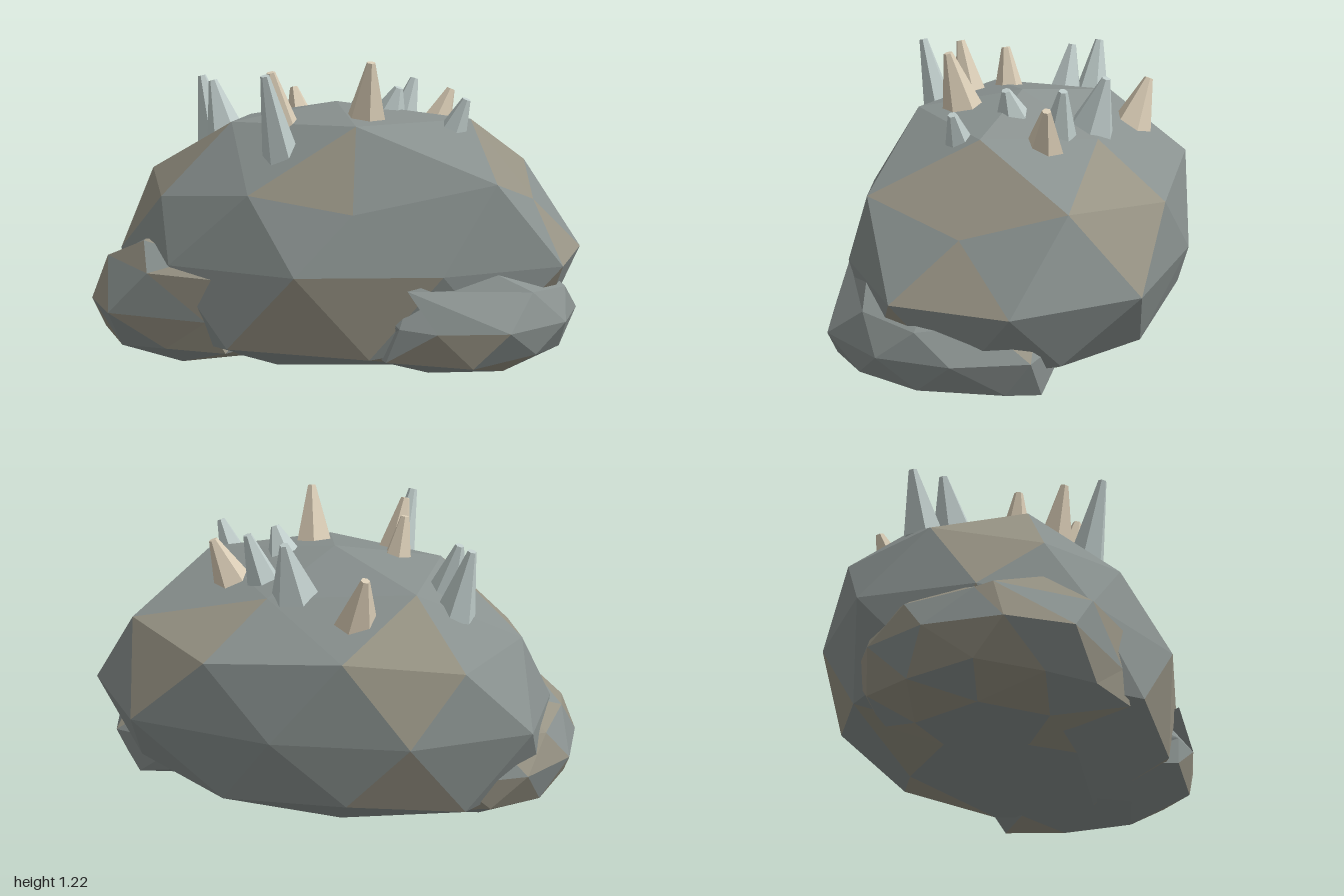
import * as THREE from 'three';

const slate = new THREE.MeshStandardMaterial({ color: 0x89918f, flatShading: true });
const warmSlate = new THREE.MeshStandardMaterial({ color: 0x979384, flatShading: true });
const sand = new THREE.MeshStandardMaterial({ color: 0xdacdb6, flatShading: true });
const ice = new THREE.MeshStandardMaterial({ color: 0xc0cdcb, flatShading: true });

// Faceted boulder: rings of an icosphere with a pole on top, flattened on the ground.
// "shaped" replaces corners of a ring by hand-placed ones; "warmth" is the share of warm facets.
function boulder(name, warmth, [cx, cy, cz], [rx, ry, rz], turn, shaped) {
  const points = [];
  const ring = (key, n, start, level) => {
    const first = points.length / 3;
    for (let i = 0; i < n; i++) {
      const h = level[i % level.length];
      const r = Math.sqrt(1 - h * h);
      const a = THREE.MathUtils.degToRad(start + turn + (360 / n) * i);
      const p = shaped[key]?.[i] ??
        [cx + rx * r * Math.cos(a), cy + ry * h, cz + rz * r * Math.sin(a)];
      points.push(p[0], Math.max(0, p[1]), p[2]);
    }
    return (i) => first + ((i + n) % n);
  };
  const top = ring('top', 1, 0, [1]);
  const A = ring('crown', 5, 0, [0.851]);
  const B = ring('shoulder', 10, 0, [0.447, 0.526]);
  const C = ring('waist', 10, 18, [0]);
  const D = ring('skirt', 10, 0, [-0.526, -0.447]);
  const E = ring('foot', 5, 36, [-0.851]);
  const bottom = ring('bottom', 1, 0, [-1]);

  // Facets are scattered between a cool and a warm stone
  const cool = [];
  const warm = [];
  let count = 0;
  const tri = (a, b, c) => {
    const scatter = (++count * 0.618) % 1;
    (scatter < warmth ? warm : cool).push(a, c, b);
  };
  for (let k = 0; k < 5; k++) {
    const j = 2 * k;
    tri(top(0), A(k), A(k + 1));
    tri(A(k), B(j), B(j + 1));
    tri(A(k), B(j + 1), A(k + 1));
    tri(A(k + 1), B(j + 1), B(j + 2));
    tri(D(j - 1), E(k - 1), D(j));
    tri(D(j), E(k), D(j + 1));
    tri(D(j), E(k - 1), E(k));
    tri(E(k - 1), bottom(0), E(k));
  }
  for (let j = 0; j < 10; j++) {
    tri(B(j), C(j), B(j + 1));
    tri(B(j + 1), C(j), C(j + 1));
    tri(C(j), D(j + 1), C(j + 1));
    tri(C(j), D(j), D(j + 1));
  }
  const indexed = new THREE.BufferGeometry();
  indexed.setAttribute('position', new THREE.Float32BufferAttribute(points, 3));
  indexed.setIndex([...cool, ...warm]);
  const geometry = indexed.toNonIndexed();
  geometry.computeVertexNormals();
  geometry.addGroup(0, cool.length, 0);
  geometry.addGroup(cool.length, warm.length, 1);
  const mesh = new THREE.Mesh(geometry, [slate, warmSlate]);
  mesh.name = name;
  return mesh;
}

// Tapered crystal from a base point to a blunt tip
function crystal(material, radius, base, tip, twist) {
  const from = new THREE.Vector3(...base);
  const axis = new THREE.Vector3(...tip).sub(from);
  const length = axis.length();
  const geometry = new THREE.CylinderGeometry(0.018, radius, length, 6);
  geometry.rotateY(twist);
  geometry.translate(0, length / 2, 0);
  const mesh = new THREE.Mesh(geometry, material);
  mesh.quaternion.setFromUnitVectors(new THREE.Vector3(0, 1, 0), axis.normalize());
  mesh.position.copy(from);
  mesh.name = 'crystal';
  return mesh;
}

export function createModel() {
  const model = new THREE.Group();
  model.name = 'crystalRock';

  // Large central boulder
  model.add(boulder('mainBoulder', 0.25, [0, 0.43, 0], [1, 0.61, 0.71], 0, {
    crown: [[0.56, 0.98, 0], [0.17, 0.98, 0.39], [-0.38, 0.97, 0.24], [-0.44, 0.95, -0.26], [0.15, 0.9, -0.36]],
    shoulder: [
      [0.82, 0.66, 0], [0.73, 0.77, 0.4], [0.2, 0.66, 0.58], [-0.22, 0.72, 0.57], [-0.63, 0.68, 0.4],
      [-0.8, 0.74, 0], [-0.69, 0.7, -0.4], [-0.27, 0.76, -0.63], [0.29, 0.71, -0.67], [0.73, 0.77, -0.4],
    ],
    waist: [
      [0.97, 0.43, 0.23], [0.55, 0.43, 0.56], [0, 0.43, 0.71], [-0.55, 0.43, 0.56], [-0.87, 0.43, 0.22],
      [-0.92, 0.43, -0.24], [-0.53, 0.43, -0.58], [0, 0.43, -0.71], [0.62, 0.43, -0.66], [0.99, 0.43, -0.25],
    ],
    skirt: { 2: [0.27, 0.1, 0.6], 3: [-0.28, 0.13, 0.67], 7: [-0.28, 0.17, -0.61] },
  }));

  // Two smaller, blockier boulders leaning on the front corners
  model.add(boulder('leftBoulder', 0.15, [0.54, 0.22, 0.13], [0.48, 0.25, 0.49], 0, {
    crown: { 1: [0.7, 0.44, 0.42] },
    shoulder: { 2: [0.42, 0.38, 0.61], 8: [0.76, 0.3, -0.28] },
    waist: { 0: [0.99, 0.22, 0.28], 1: [0.81, 0.22, 0.55], 2: [0.54, 0.22, 0.63], 3: [0.39, 0.23, 0.61], 8: [0.88, 0.22, -0.3], 9: [1, 0.22, -0.02] },
    skirt: { 2: [0.67, 0.08, 0.57], 3: [0.34, 0.1, 0.62], 8: [0.77, 0.05, -0.31], 9: [0.88, 0.08, -0.2] },
  }));
  model.add(boulder('rightBoulder', 0.6, [-0.54, 0.23, 0.12], [0.46, 0.3, 0.51], -15, {
    crown: { 1: [-0.42, 0.46, 0.52], 2: [-0.7, 0.5, 0.42] },
    shoulder: { 2: [-0.33, 0.39, 0.62], 3: [-0.63, 0.4, 0.59], 4: [-0.9, 0.41, 0.3] },
    waist: { 2: [-0.38, 0.22, 0.62], 3: [-0.8, 0.23, 0.58], 4: [-0.95, 0.24, 0.36], 5: [-1, 0.23, 0.06] },
    skirt: { 2: [-0.3, 0.1, 0.62] },
  }));

  // Crystals on the crown: material, base radius, base, tip
  const crystals = new THREE.Group();
  crystals.name = 'crystals';
  [
    [sand, 0.09, [-0.24, 0.84, -0.4], [-0.3, 1.05, -0.46]],
    [ice, 0.105, [0.05, 0.89, -0.3], [0.07, 1.13, -0.37]],
    [ice, 0.07, [0.23, 0.93, -0.22], [0.28, 1.12, -0.25]],
    [sand, 0.08, [0.37, 0.9, -0.2], [0.44, 1.08, -0.23]],
    [ice, 0.07, [0.22, 0.99, -0.02], [0.26, 1.1, -0.01]],
    [ice, 0.055, [0.51, 0.95, 0.1], [0.56, 1.07, 0.11]],
    [ice, 0.085, [-0.56, 0.85, -0.14], [-0.63, 1.12, -0.16]],
    [ice, 0.09, [-0.48, 0.86, -0.04], [-0.55, 1.11, -0.06]],
    [sand, 0.08, [-0.22, 0.9, 0.12], [-0.25, 1.15, 0.15]],
    [sand, 0.09, [-0.15, 0.88, 0.26], [-0.19, 1.18, 0.33]],
    [ice, 0.075, [-0.13, 0.85, 0.4], [-0.17, 1.18, 0.49]],
    [sand, 0.085, [0.17, 0.98, 0.2], [0.2, 1.22, 0.25]],
  ].forEach(([material, radius, base, tip], i) => {
    crystals.add(crystal(material, radius, base, tip, i * 0.7));
  });
  model.add(crystals);
  return model;
}
